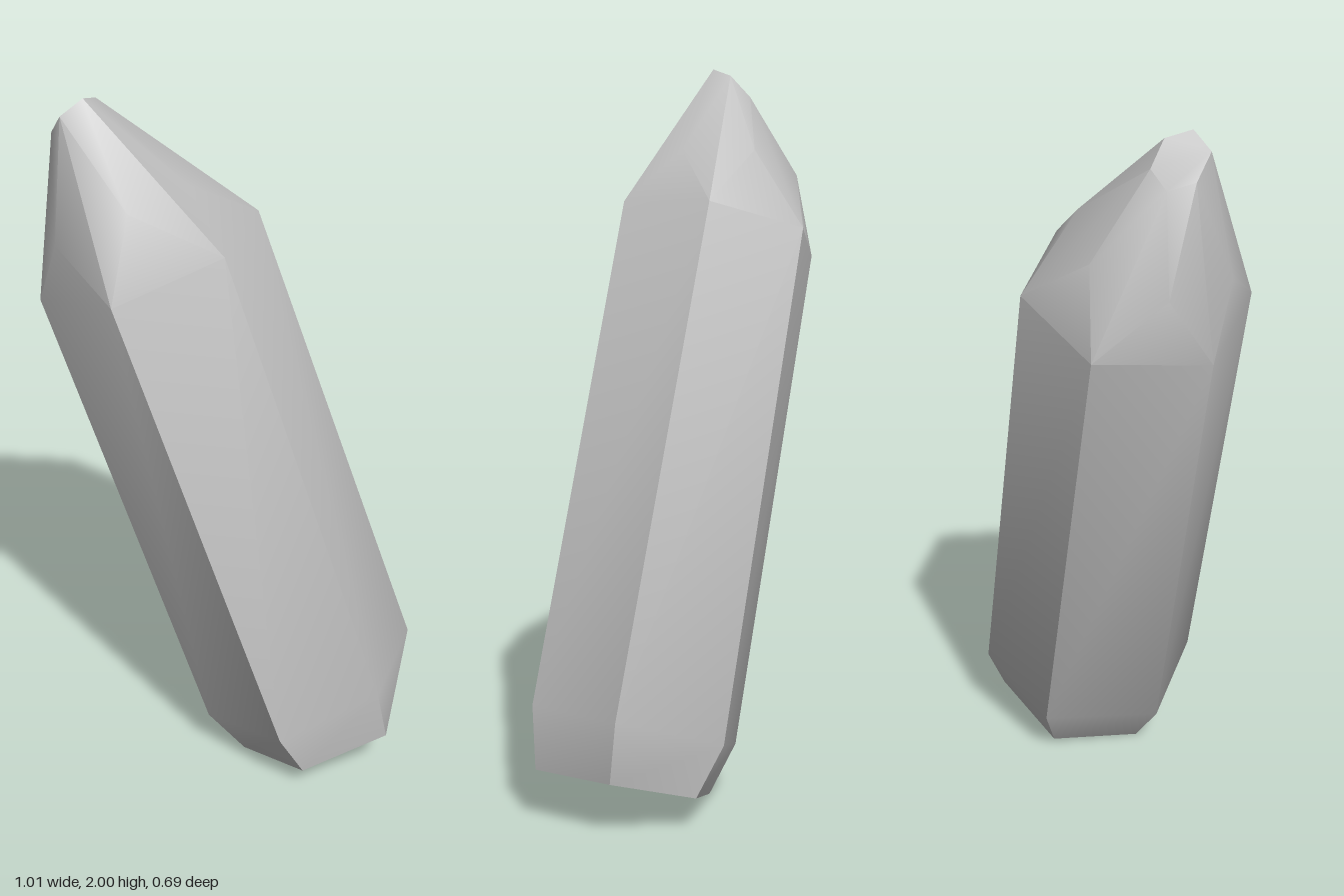
import * as THREE from 'three';
import { toCreasedNormals } from 'three/addons/utils/BufferGeometryUtils.js';

// Six-sided cross-sections, each running counterclockwise seen from above
const base = [[0.12, 0.07, 0.32], [0.37, 0.145, 0.31], [0.47, 0.15, 0.09], [0.37, 0.09, -0.12], [0.12, 0.015, -0.12], [0, 0, 0.1]];
const lower = [[0.045, 0.21, 0.342], [0.335, 0.31, 0.325], [0.505, 0.325, 0.068], [0.35, 0.23, -0.19], [0.07, 0.145, -0.185], [-0.105, 0.135, 0.09]];
const upper = [[-0.36, 1.53, 0.168], [-0.065, 1.63, 0.148], [0.085, 1.635, -0.11], [-0.07, 1.56, -0.345], [-0.35, 1.47, -0.345], [-0.505, 1.45, -0.09]];
const tip = [[-0.435, 1.96, -0.05], [-0.375, 2, -0.055], [-0.335, 1.98, -0.11], [-0.35, 1.92, -0.165], [-0.41, 1.88, -0.165], [-0.45, 1.9, -0.108]];
// Raised points in the middle of each sloping facet of the point
const ridge = [[-0.3, 1.75, 0.1], [-0.125, 1.77, -0.005], [-0.125, 1.77, -0.205], [-0.295, 1.7, -0.305], [-0.465, 1.63, -0.2], [-0.47, 1.64, 0]];

export function createModel() {
  const group = new THREE.Group();
  group.name = 'crystal';
  const stone = new THREE.MeshStandardMaterial({ color: 0xc0c0c0 });
  stone.name = 'grey stone';

  const pos = [];
  const tri = (...corners) => corners.forEach((c) => pos.push(...c));
  for (let i = 0; i < 6; i++) {
    const j = (i + 1) % 6;
    // Bevelled foot and long shaft
    for (const [a, b] of [[base, lower], [lower, upper]]) {
      tri(a[i], a[j], b[j]);
      tri(a[i], b[j], b[i]);
    }
    // Sloping facet fanned around its ridge point
    const rim = [upper[i], upper[j], tip[j], tip[i]];
    rim.forEach((p, k) => tri(p, rim[(k + 1) % 4], ridge[i]));
    // End caps
    if (i > 0 && i < 5) {
      tri(base[0], base[j], base[i]);
      tri(tip[0], tip[i], tip[j]);
    }
  }
  const geo = new THREE.BufferGeometry();
  geo.setAttribute('position', new THREE.Float32BufferAttribute(pos, 3));
  const mesh = new THREE.Mesh(toCreasedNormals(geo, 0.6), stone);
  mesh.name = 'crystalShard';
  group.add(mesh);
  return group;
}
